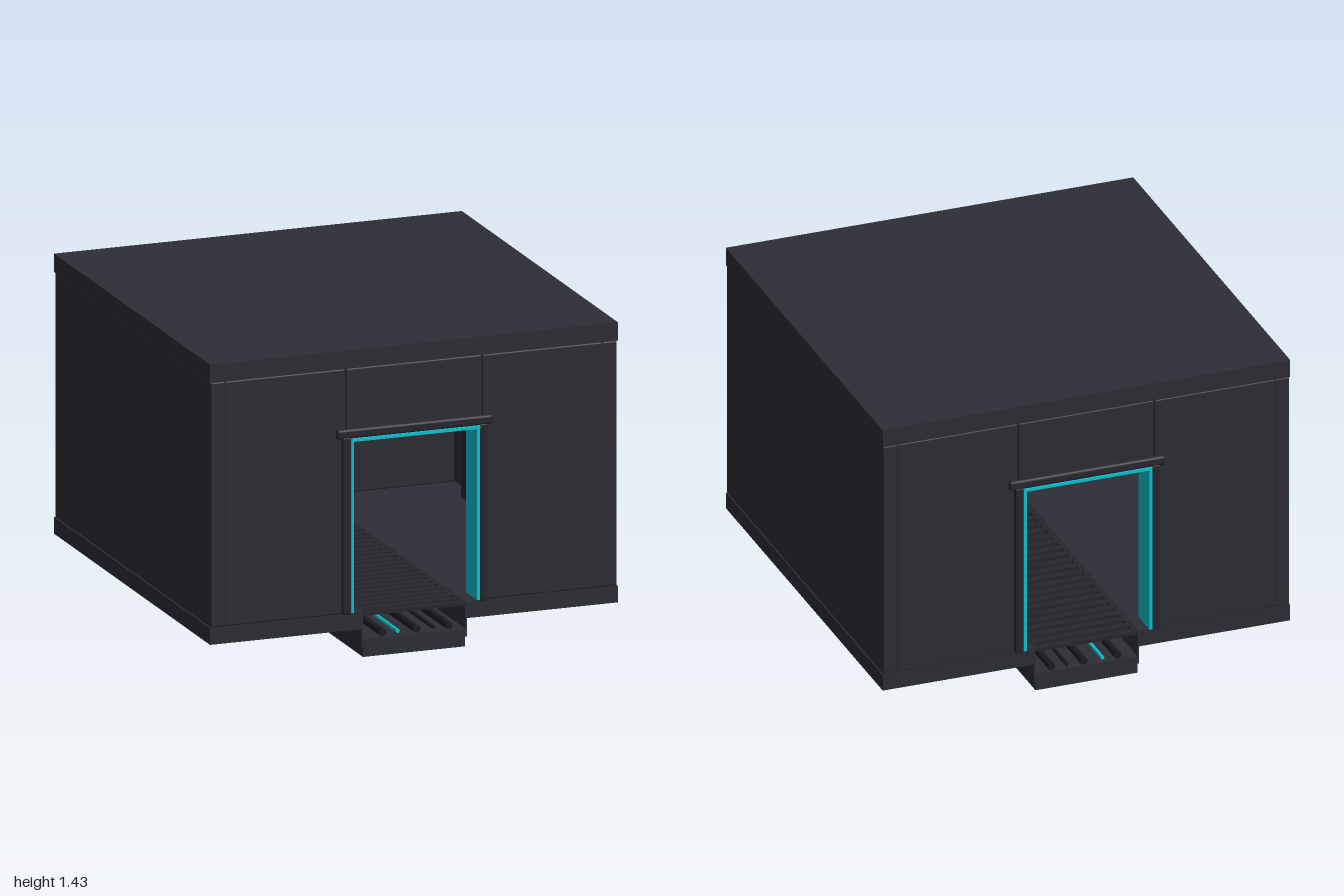
import * as THREE from 'three';
import { RoundedBoxGeometry } from 'three/addons/geometries/RoundedBoxGeometry.js';

const material = (name, color) => {
  const m = new THREE.MeshStandardMaterial({ color });
  m.name = name;
  return m;
};

export function createModel() {
  const panel = material('charcoal panel', 0x2d2d36);
  const trim = material('dark trim', 0x26262d);
  const metal = material('blackened metal', 0x1c1c21);
  const teal = material('teal glow', 0x0dc6d2);
  const model = new THREE.Group();
  model.name = 'corridorModule';

  // Box given by its limits on each axis; r > 0 rounds the edges
  const block = (name, mat, [x0, x1], [y0, y1], [z0, z1], r = 0, parent = model) => {
    const size = [x1 - x0, y1 - y0, z1 - z0];
    const geo = r ? new RoundedBoxGeometry(...size, 2, r) : new THREE.BoxGeometry(...size);
    const mesh = new THREE.Mesh(geo, mat);
    mesh.position.set((x0 + x1) / 2, (y0 + y1) / 2, (z0 + z1) / 2);
    mesh.name = name;
    parent.add(mesh);
    return mesh;
  };
  // Same box on both sides of x = 0
  const pair = (name, mat, [x0, x1], y, z, r = 0, parent = model) => {
    block(name + 'Left', mat, [x0, x1], y, z, r, parent);
    block(name + 'Right', mat, [-x1, -x0], y, z, r, parent);
  };
  const pipe = (name, mat, x, y, radius, length, parent = model) => {
    const mesh = new THREE.Mesh(new THREE.CylinderGeometry(radius, radius, length, 16), mat);
    mesh.rotation.x = Math.PI / 2;
    mesh.position.set(x, y, 0);
    mesh.name = name;
    parent.add(mesh);
  };

  const full = [-0.975, 0.975];

  // Shell
  block('roof', panel, full, [1.345, 1.43], full);
  pair('floorSlab', panel, [0.25, 0.975], [0.13, 0.207], full);
  pair('sideWall', panel, [0.9, 0.972], [0.207, 1.345], [-0.973, 0.973], 0.008);

  // End walls with doorways, front and back
  for (const s of [1, -1]) {
    const end = new THREE.Group();
    end.name = s > 0 ? 'frontEnd' : 'backEnd';
    end.rotation.y = s > 0 ? 0 : Math.PI;
    model.add(end);
    pair('wallPanel', panel, [0.327, 0.904], [0.207, 1.345], [0.875, 0.973], 0.008, end);
    block('panelOverDoor', panel, [-0.325, 0.325], [1.03, 1.345], [0.875, 0.973], 0.008, end);
    pair('doorJamb', trim, [0.306, 0.347], [0.207, 1.03], [0.855, 0.993], 0.008, end);
    block('doorLintel', trim, [-0.373, 0.373], [1.022, 1.067], [0.86, 0.993], 0.012, end);
    pair('doorLight', teal, [0.294, 0.308], [0.215, 1.015], [0.855, 0.996], 0, end);
    block('doorLightTop', teal, [-0.308, 0.308], [1.01, 1.024], [0.855, s > 0 ? 1 : 0.996], 0, end);
  }

  // Floor grating over the trench
  const grating = new THREE.Group();
  grating.name = 'grating';
  model.add(grating);
  pair('gratingRail', trim, [0.225, 0.25], [0.19, 0.206], full, 0, grating);
  const slats = 31;
  for (let i = 0; i < slats; i++) {
    const z = -0.957 + (i * 1.914) / (slats - 1);
    block('slat', trim, [-0.225, 0.225], [0.19, 0.206], [z - 0.018, z + 0.018], 0, grating);
  }

  // Service trench and its pipes
  block('trenchBase', panel, [-0.244, 0.244], [0, 0.082], full);
  pair('trenchSide', panel, [0.244, 0.252], [0.045, 0.192], full);
  for (const x of [-0.15, 0.013, 0.167]) pipe('pipe', metal, x, 0.104, 0.018, 1.95);
  pipe('thinPipe', metal, 0.094, 0.104, 0.009, 1.95);
  pipe('glowingPipe', teal, -0.077, 0.104, 0.009, 1.95);

  // Interior ribs, wall rails and ceiling services
  for (const z of [-0.6, -0.2, 0.2, 0.6]) {
    pair('wallRib', trim, [0.84, 0.905], [0.207, 1.345], [z - 0.035, z + 0.035]);
    block('ceilingBeam', trim, [-0.9, 0.9], [1.27, 1.345], [z - 0.035, z + 0.035]);
  }
  const inner = [-0.875, 0.875];
  pair('wallRail', trim, [0.86, 0.905], [0.5, 0.55], inner);
  pair('ceilingDuct', trim, [0.62, 0.82], [1.14, 1.28], inner, 0.012);
  pair('ceilingLight', teal, [0.45, 0.48], [1.262, 1.271], inner);
  for (const x of [-0.54, 0.54]) pipe('ceilingPipe', metal, x, 1.23, 0.03, 1.75);

  return model;
}
